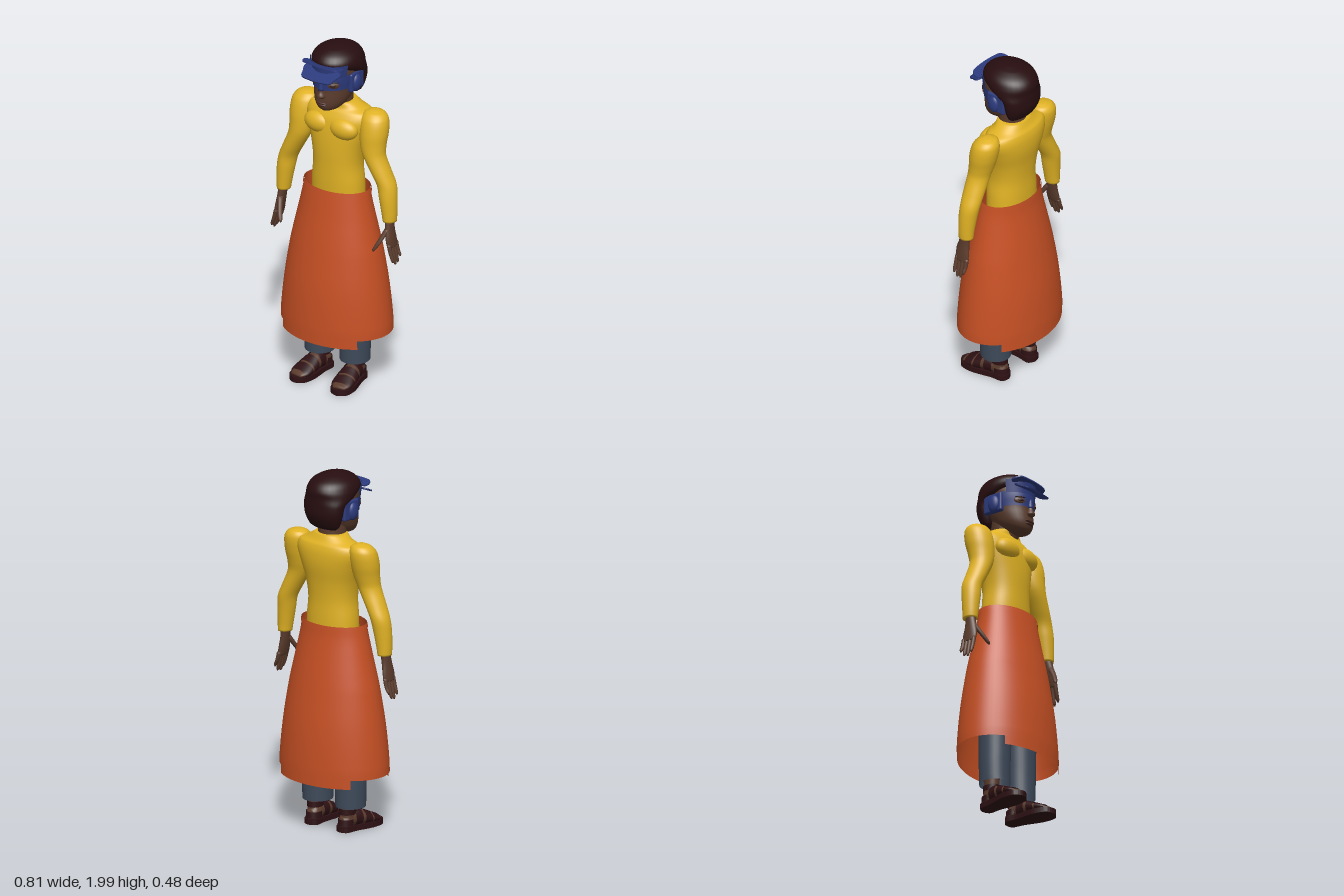
import * as THREE from 'three';
import { RoundedBoxGeometry } from 'three/addons/geometries/RoundedBoxGeometry.js';

const mat = (name, color, side = THREE.FrontSide) => {
  const m = new THREE.MeshStandardMaterial({ color, side });
  m.name = name;
  return m;
};

// Smoothly interpolates sections [x, y, z, rx, rz] at height y
function sample(sec, y) {
  const n = sec.length;
  let i = 0;
  while (i < n - 2 && y > sec[i + 1][1]) i++;
  const a = sec[i], b = sec[i + 1], h = b[1] - a[1], t = (y - a[1]) / h;
  const slope = (j, k) => {
    const p = sec[Math.max(j - 1, 0)], q = sec[Math.min(j + 1, n - 1)];
    return (q[k] - p[k]) / (q[1] - p[1]);
  };
  return a.map((v, k) => {
    if (k === 1) return y;
    const t2 = t * t, t3 = t2 * t;
    const r = (2 * t3 - 3 * t2 + 1) * v + (t3 - 2 * t2 + t) * h * slope(i, k)
      + (3 * t2 - 2 * t3) * b[k] + (t3 - t2) * h * slope(i + 1, k);
    return k > 2 ? Math.max(r, 0.002) : r;
  });
}

// Skin over horizontal elliptical rings; angle 0 faces +z and turns towards +x.
// o: lo, hi (height range), off (outward offset), arc (half angle), mid (arc centre), pow, steps, n
function loft(sections, o = {}) {
  const sec = [...sections].sort((a, b) => a[1] - b[1]);
  const { lo = sec[0][1], hi = sec[sec.length - 1][1], off = 0, arc = 0, mid = 0, pow = 2, steps = 5, n = 32 } = o;
  const ys = [...new Set([lo, ...sec.map(s => s[1]).filter(y => y > lo && y < hi), hi])];
  const rows = [];
  for (let i = 0; i < ys.length - 1; i++)
    for (let k = 0; k < steps; k++) rows.push(ys[i] + (ys[i + 1] - ys[i]) * k / steps);
  rows.push(hi);
  const pos = [], idx = [], w = arc ? n + 1 : n;
  const bend = v => Math.sign(v) * Math.abs(v) ** (2 / pow);
  const rings = rows.map(y => sample(sec, y));
  for (const [x, y, z, rx, rz] of rings)
    for (let j = 0; j < w; j++) {
      const a = arc ? mid - arc + 2 * arc * j / n : 2 * Math.PI * j / n;
      pos.push(x + (rx + off) * bend(Math.sin(a)), y, z + (rz + off) * bend(Math.cos(a)));
    }
  for (let i = 0; i < rows.length - 1; i++)
    for (let j = 0; j < n; j++) {
      const p = i * w + j, q = i * w + (j + 1) % w;
      idx.push(p, q, p + w, q, q + w, p + w);
    }
  if (!arc && o.cap !== false) {
    const c = pos.length / 3, top = (rows.length - 1) * w;
    for (const r of [rings[0], rings[rings.length - 1]]) pos.push(r[0], r[1], r[2]);
    for (let j = 0; j < n; j++) {
      const k = (j + 1) % n;
      idx.push(c, k, j, c + 1, top + j, top + k);
    }
  }
  const g = new THREE.BufferGeometry();
  g.setAttribute('position', new THREE.Float32BufferAttribute(pos, 3));
  g.setIndex(idx);
  g.computeVertexNormals();
  return g;
}

const ball = (x, y, z, rx, ry, rz, turn = 0) =>
  new THREE.SphereGeometry(1, 24, 16).scale(rx, ry, rz).rotateY(turn).translate(x, y, z);

// Flat plate lying in xz, outlined by a smooth closed curve of [x, z] points
function plate(points, thick) {
  const shape = new THREE.Shape(new THREE.CatmullRomCurve3(
    points.map(p => new THREE.Vector3(p[0], p[1], 0)), true, 'catmullrom', 0.4).getPoints(48).map(p => new THREE.Vector2(p.x, p.y)));
  return new THREE.ExtrudeGeometry(shape, { depth: thick, bevelEnabled: false }).rotateX(Math.PI / 2);
}

export function createModel() {
  const root = new THREE.Group();
  const skin = mat('brown skin', 0x5a3b2c), dark = mat('dark features', 0x301a16), lip = mat('lips', 0x4c2c25);
  const hairMat = mat('dark hair', 0x280e10), blue = mat('blue visor', 0x2c3a7c, THREE.DoubleSide);
  const yellow = mat('yellow shirt', 0xe0b224), orange = mat('orange skirt', 0xc65024, THREE.DoubleSide);
  const slate = mat('slate trousers', 0x3e4a5a, THREE.DoubleSide), leather = mat('sandal leather', 0x2e1114, THREE.DoubleSide);
  const add = (name, geo, m, parent = root) => {
    const mesh = new THREE.Mesh(geo, m);
    mesh.name = name;
    parent.add(mesh);
    return mesh;
  };

  // Head, neck and hair
  const head = [[0, 1.645, .09, .03, .035], [0, 1.66, .075, .06, .065], [0, 1.69, .05, .085, .1], [0, 1.73, .03, .1, .12],
    [0, 1.78, .01, .11, .137], [0, 1.84, .005, .118, .145], [0, 1.9, 0, .118, .138], [0, 1.96, 0, .09, .1]];
  add('head', loft(head), skin);
  add('neck', loft([[0, 1.58, -.04, .08, .07], [0, 1.66, -.02, .078, .076], [0, 1.76, -.01, .085, .085]]), skin);
  add('hair', loft([[0, 1.7, -.08, .075, .025], [0, 1.72, -.085, .098, .045], [0, 1.78, -.09, .12, .07], [0, 1.84, -.08, .13, .084],
    [0, 1.88, -.035, .138, .128], [0, 1.92, -.007, .136, .157], [0, 1.96, -.003, .115, .135], [0, 1.988, 0, .07, .085], [0, 2, 0, .025, .03]]), hairMat);
  add('nose', loft([[0, 1.728, .145, .014, .012], [0, 1.742, .15, .025, .026], [0, 1.77, .146, .014, .019], [0, 1.82, .14, .01, .015]]), skin);
  add('upperLip', ball(0, 1.7, .147, .035, .008, .014), lip);
  add('lowerLip', ball(0, 1.686, .143, .03, .008, .014), lip);

  // Visor, eye mask and ear covers
  add('eyeMask', loft(head, { lo: 1.78, hi: 1.865, off: .006, arc: 1.35 }), blue);
  add('noseBridge', loft([[0, 1.778, .146, .017, .021], [0, 1.83, .143, .014, .018]]), blue);
  add('foreheadBand', loft([[0, 1.855, .003, .128, .152], [0, 1.93, 0, .138, .162]], { arc: 1.1 }), blue);
  const brim = add('brim', plate([[-.105, 0], [.105, 0], [.102, .06], [.085, .092], [0, .1], [-.085, .092], [-.102, .06]], .008), blue);
  brim.position.set(0, 1.898, .125);
  brim.rotation.x = .42;
  const flap = add('upperBrim', plate([[-.112, 0], [.112, 0], [.108, .06], [0, .072], [-.108, .06]], .008), blue);
  flap.position.set(0, 1.918, .108);
  flap.rotation.x = -.22;

  for (const s of [1, -1]) {
    const side = new THREE.Group();
    side.name = s > 0 ? 'leftSide' : 'rightSide';
    root.add(side);
    const put = (name, geo, m) => add(name, geo, m, side);
    const S = list => list.map(([x, ...r]) => [s * x, ...r]);

    // Eyes and ear cover
    put('eyeOpening', ball(s * .063, 1.812, .126, .033, .019, .01, s * .62), skin);
    put('eye', ball(s * .064, 1.812, .132, .019, .008, .007, s * .62), dark);
    put('eyebrow', ball(s * .064, 1.83, .129, .03, .005, .008, s * .62), dark);
    put('earCover', new RoundedBoxGeometry(.03, .11, .12, 3, .012).translate(s * .115, 1.808, -.01), blue);
    put('ear', ball(s * .128, 1.8, 0, .022, .05, .035), blue);

    // Sleeve and chest
    put('sleeve', loft(S([[.348, 1.035, .003, .037, .042], [.345, 1.08, .003, .042, .045], [.335, 1.17, 0, .05, .052], [.322, 1.24, -.005, .053, .056],
      [.288, 1.31, -.002, .057, .06], [.244, 1.4, 0, .064, .063], [.232, 1.46, -.008, .073, .07], [.23, 1.53, -.02, .08, .077],
      [.226, 1.6, -.033, .076, .072], [.221, 1.634, -.04, .055, .05], [.218, 1.647, -.04, .02, .02]])), yellow);
    put('chest', ball(s * .082, 1.53, .055, .088, .062, .054), yellow);

    // Hand: palm, four fingers and thumb
    put('palm', loft(S([[.372, .89, .012, .014, .042], [.365, .93, .014, .018, .044], [.355, .99, .012, .021, .035], [.347, 1.06, .005, .024, .028]])), skin);
    [[.045, .81], [.022, .792], [0, .797], [-.022, .825]].forEach(([z, tip]) => put('finger', loft(S([
      [.398, tip, z, .004, .004], [.395, tip + .012, z, .009, .009], [.383, .86, z, .011, .0115], [.37, .91, z, .012, .012]]), { n: 12 }), skin));
    put('thumb', loft(S([[.304, .875, .096, .005, .005], [.309, .888, .092, .011, .011], [.328, .93, .07, .014, .014], [.352, .995, .03, .016, .018]]), { n: 12 }), skin);

    // Trouser leg
    put('trouserLeg', loft(S([[.115, .14, -.003, .082, .085], [.115, .3, -.003, .086, .087], [.105, .7, 0, .09, .095], [.08, 1.05, 0, .08, .1]]), { cap: false }), slate);
    put('ankle', loft(S([[.118, .04, -.035, .036, .042], [.118, .1, -.025, .035, .042], [.117, .2, -.02, .042, .046]])), skin);

    // Foot and sandal; the foot runs along z, slightly turned out
    const foot = new THREE.Group();
    foot.name = 'foot';
    foot.position.x = s * .117;
    foot.rotation.y = s * .12;
    side.add(foot);
    const form = [[0, -.075, -.055, .025, .025], [0, -.05, -.065, .038, .04], [0, .02, -.075, .044, .046],
      [0, .09, -.06, .054, .034], [0, .15, -.046, .054, .02], [0, .188, -.04, .035, .01]];
    const along = o => loft(form, o).rotateX(Math.PI / 2);
    add('footBody', along(), skin, foot);
    for (const [lo, hi] of [[.115, .168], [.06, .105], [-.005, .042]])
      add('strap', along({ lo, hi, off: .006, cap: false }), leather, foot);
    add('sole', plate([[0, -.09], [.04, -.07], [.044, 0], [.062, .11], [.05, .185], [0, .213], [-.05, .185], [-.062, .11], [-.044, 0], [-.04, -.07]], .03)
      .translate(0, .036, 0), leather, foot);
    add('heelStrap', loft([[0, .04, -.04, .043, .046], [0, .075, -.036, .043, .047]], { arc: 2, mid: Math.PI }), leather, foot);
    add('ankleStrap', loft([[0, .1, -.027, .042, .049], [0, .132, -.025, .043, .05]], { cap: false }), leather, foot);
  }

  // Shirt body with raised collar
  add('shirtBody', loft([[0, 1.1, -.015, .155, .11], [0, 1.2, -.013, .151, .112], [0, 1.3, -.012, .142, .112], [0, 1.4, -.016, .155, .117],
    [0, 1.5, -.027, .185, .122], [0, 1.57, -.034, .205, .116], [0, 1.615, -.04, .19, .1], [0, 1.637, -.04, .14, .085], [0, 1.67, -.03, .088, .078]],
  { pow: 2.2, n: 48 }), yellow);

  // Wrapped skirt: outer layer, waistband, and longer front and back panels
  const skirt = [[0, .29, 0, .331, .24], [0, .4, 0, .328, .239], [0, .6, 0, .306, .225], [0, .8, 0, .274, .196],
    [0, .9, 0, .252, .179], [0, 1, 0, .229, .16], [0, 1.1, 0, .207, .142], [0, 1.168, -.003, .195, .132]];
  add('skirt', loft(skirt, { lo: .34, cap: false, n: 64 }), orange);
  add('waistband', loft(skirt, { lo: 1.146, off: .005, cap: false, n: 64 }), orange);
  for (const mid of [0, Math.PI])
    add('skirtPanel', loft(skirt, { hi: .6, off: -.003, arc: .837, mid }), orange);

  return root;
}
